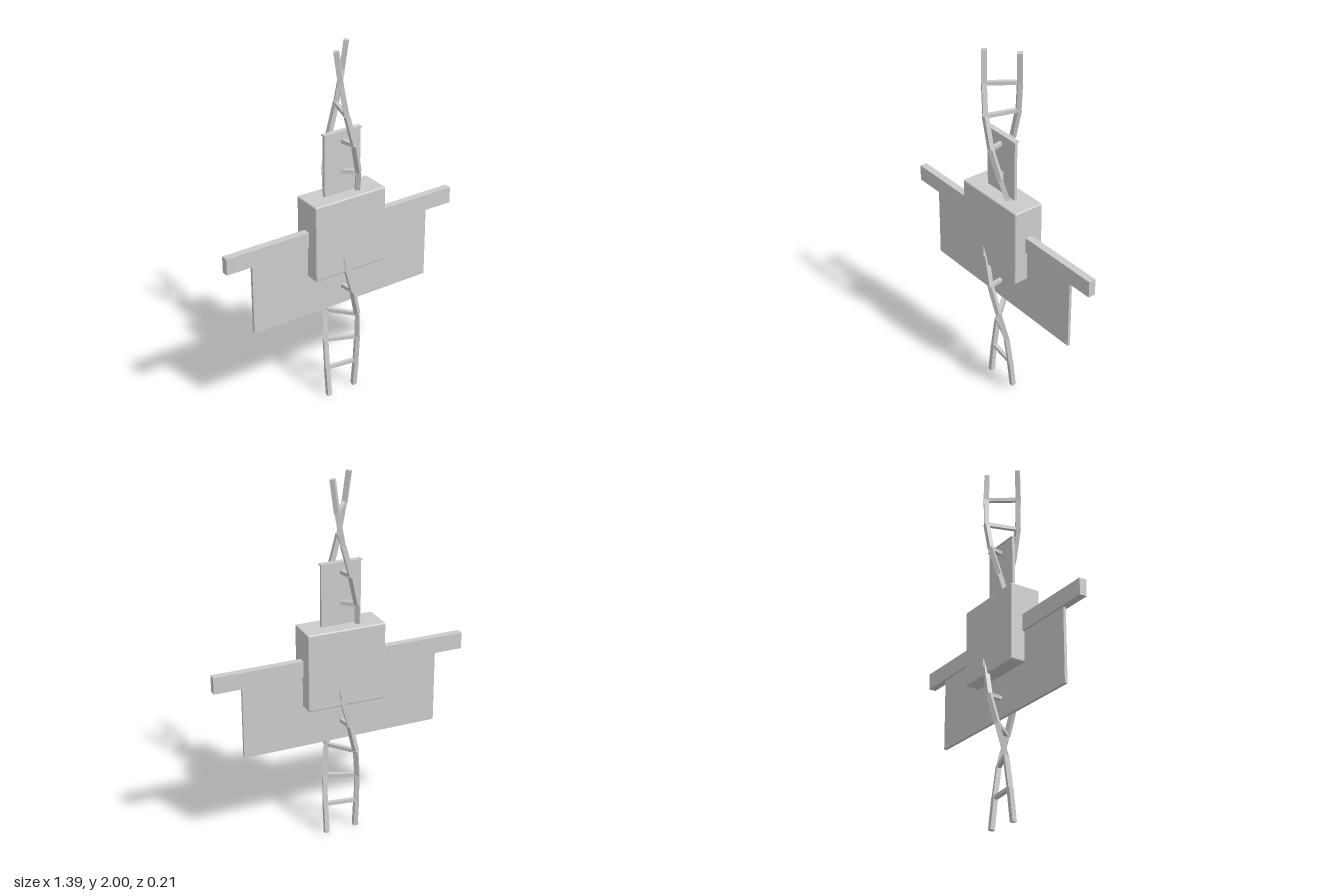
import * as THREE from 'three';
import { RoundedBoxGeometry } from 'three/addons/geometries/RoundedBoxGeometry.js';

const material = new THREE.MeshStandardMaterial({ color: 0xcccccc, flatShading: true });

export function createModel() {
  const model = new THREE.Group();
  model.name = 'twistedLadderStation';

  const add = (name, geometry, x, y, z, parent = model) => {
    const mesh = new THREE.Mesh(geometry, material);
    mesh.name = name;
    mesh.position.set(x, y, z);
    parent.add(mesh);
    return mesh;
  };
  const box = (w, h, d) => new THREE.BoxGeometry(w, h, d);

  // Central block with narrow rounded edges
  add('centralBlock', new RoundedBoxGeometry(0.43, 0.425, 0.172, 2, 0.008), -0.002, 1.003, 0);

  // Cross bar with the wide panel hanging below it
  add('crossBar', box(1.395, 0.09, 0.04), -0.002, 1.005, 0);
  add('lowerPanel', box(1.09, 0.4, 0.016), -0.003, 0.762, 0);

  // Upright panel with its cap strip
  add('upperPanel', box(0.218, 0.36, 0.016), -0.002, 1.37, 0);
  add('upperPanelCap', box(0.226, 0.008, 0.03), -0.002, 1.55, 0);

  // Twisted ladder: heading in degrees at each of the equally spaced levels
  const turns = [-4, 8, 22, 50, 82, 111, 150, 190, 223, 257, 287, 306, 321];
  const radius = 0.087;
  const levels = turns.length - 1;
  const ladder = new THREE.Group();
  ladder.name = 'twistedLadder';
  ladder.position.x = -0.004;
  model.add(ladder);

  const point = (i, side) => {
    const a = THREE.MathUtils.degToRad(turns[i]);
    const y = 0.004 + (i / levels) * 1.992;
    return new THREE.Vector3(side * radius * Math.cos(a), y, side * radius * Math.sin(a));
  };

  // Straight square bar between two points, one face turned outward
  const beam = (name, from, to, width, extra, outward) => {
    const along = to.clone().sub(from);
    const length = along.length() + extra;
    along.normalize();
    const side = new THREE.Vector3().crossVectors(outward, along).normalize();
    const out = new THREE.Vector3().crossVectors(along, side);
    const mid = from.clone().add(to).multiplyScalar(0.5);
    const mesh = add(name, box(width, length, width), mid.x, mid.y, mid.z, ladder);
    mesh.quaternion.setFromRotationMatrix(new THREE.Matrix4().makeBasis(out, along, side));
  };

  for (let i = 0; i < levels; i++) {
    for (const side of [1, -1]) {
      const from = point(i, side);
      const to = point(i + 1, side);
      const outward = from.clone().add(to).setY(0).normalize();
      beam(side > 0 ? 'leftRail' : 'rightRail', from, to, 0.025, 0.004, outward);
    }
    if (i > 0) {
      beam('rung', point(i, 1), point(i, -1), 0.02, 0, new THREE.Vector3(0, 1, 0));
    }
  }

  return model;
}
